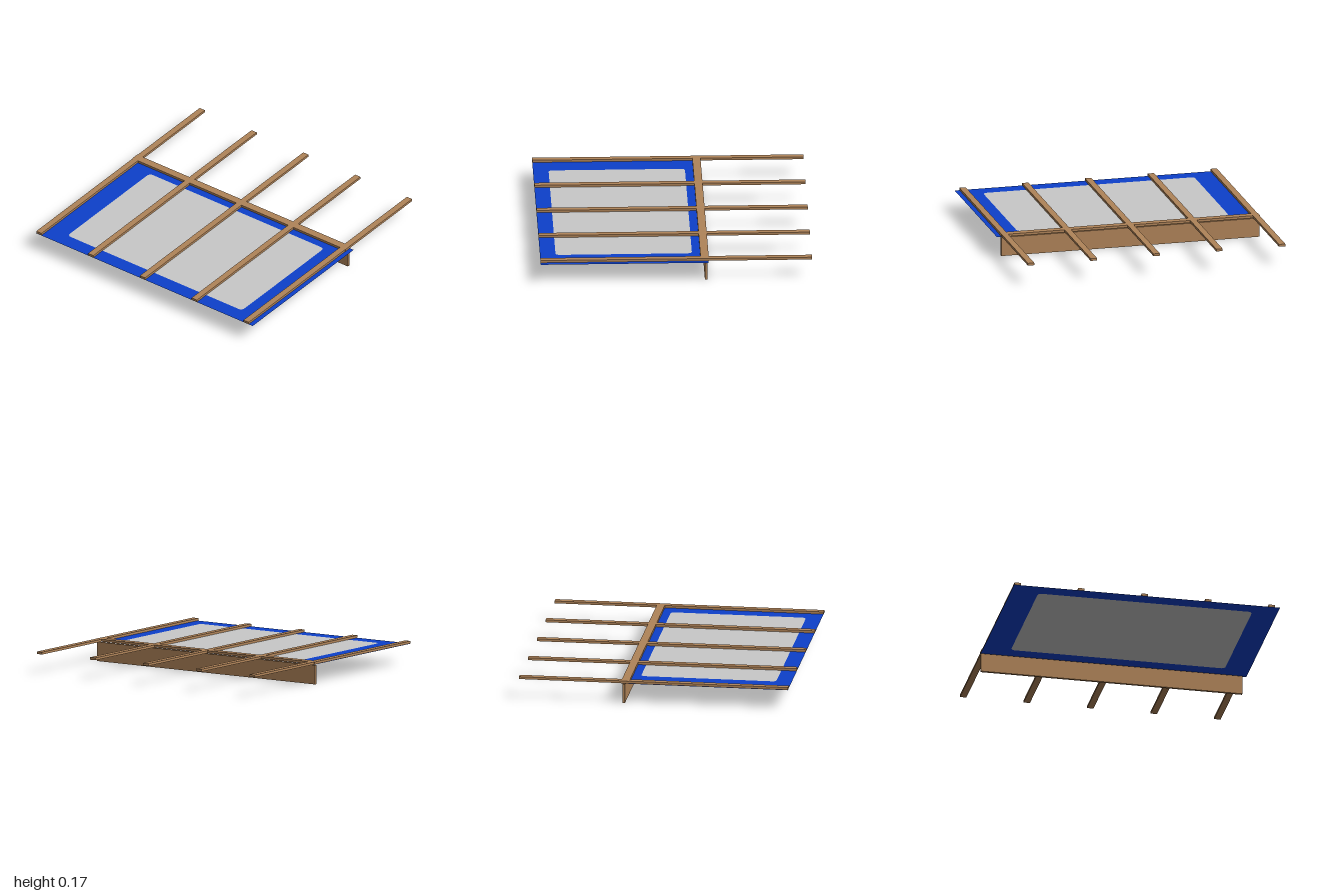
import * as THREE from 'three';

const wood = new THREE.MeshStandardMaterial({ color: 0xb08459 });
wood.name = 'wood';
const blue = new THREE.MeshStandardMaterial({ color: 0x0d40cb, side: THREE.DoubleSide });
blue.name = 'blueFrame';
const grey = new THREE.MeshStandardMaterial({ color: 0xc9c9c9, side: THREE.DoubleSide });
grey.name = 'greyPanel';

// Box given by its minimum and maximum corners
function beam(name, [x0, y0, z0], [x1, y1, z1]) {
  const mesh = new THREE.Mesh(new THREE.BoxGeometry(x1 - x0, y1 - y0, z1 - z0), wood);
  mesh.position.set((x0 + x1) / 2, (y0 + y1) / 2, (z0 + z1) / 2);
  mesh.name = name;
  return mesh;
}

// Rectangle with rounded corners, drawn with y = -z
function roundedRect(target, x0, x1, z0, z1, r) {
  const y0 = -z1, y1 = -z0;
  target.moveTo(x0 + r, y0);
  target.lineTo(x1 - r, y0);
  target.absarc(x1 - r, y0 + r, r, -Math.PI / 2, 0);
  target.lineTo(x1, y1 - r);
  target.absarc(x1 - r, y1 - r, r, 0, Math.PI / 2);
  target.lineTo(x0 + r, y1);
  target.absarc(x0 + r, y1 - r, r, Math.PI / 2, Math.PI);
  target.lineTo(x0, y0 + r);
  target.absarc(x0 + r, y0 + r, r, Math.PI, Math.PI * 1.5);
  return target;
}

// Flat sheet lying level at height y
function sheet(name, shape, y, material) {
  const mesh = new THREE.Mesh(new THREE.ShapeGeometry(shape, 6).rotateX(-Math.PI / 2), material);
  mesh.position.y = y;
  mesh.name = name;
  return mesh;
}

export function createModel() {
  const group = new THREE.Group();
  group.name = 'slattedCanopy';

  const bottom = 0.15, top = 0.168, sheetY = 0.149;

  // Five long slats running front to back
  for (let i = 0; i < 5; i++) {
    const x = -0.972 + i * 0.478;
    group.add(beam('slat' + (i + 1), [x - 0.024, bottom, -1], [x + 0.024, top, 1]));
  }

  // Cross rail at slat level and the upright board beneath it
  group.add(beam('crossRail', [-1, bottom, -0.24], [0.966, top, -0.18]));
  group.add(beam('uprightBoard', [-1, 0, -0.23], [0.966, 0.143, -0.211]));

  // Blue border sheet with a rounded opening filled by the grey panel
  const panel = [-0.795, 0.815, -0.12, 0.885, 0.03];
  const border = new THREE.Shape([
    new THREE.Vector2(-1, -1), new THREE.Vector2(1, -1),
    new THREE.Vector2(1, 0.236), new THREE.Vector2(-1, 0.236),
  ]);
  border.holes.push(roundedRect(new THREE.Path(), ...panel));
  group.add(sheet('borderSheet', border, sheetY, blue));
  group.add(sheet('centrePanel', roundedRect(new THREE.Shape(), ...panel), sheetY, grey));

  return group;
}
